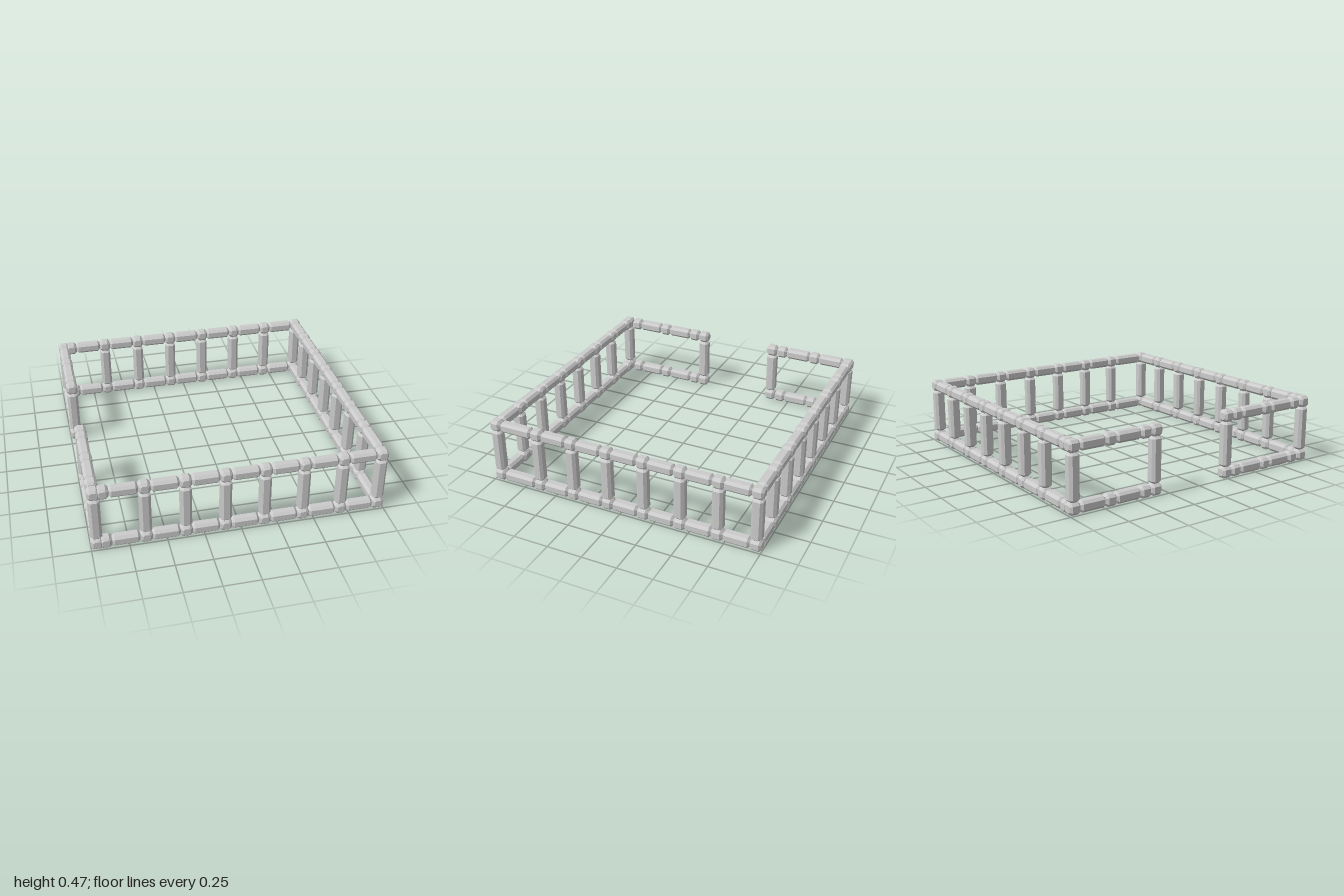
import * as THREE from 'three';

const R = 0.04;                 // half size of a joint
const LOW = 0.04, HIGH = 0.434; // rail heights
const END = 0.96;               // corner distance from the middle
const STEP = 0.266;             // joint spacing
const material = new THREE.MeshStandardMaterial({ color: 0xcccccc, flatShading: true });

// Eight-sided bar along z, centred, with bevelled ends
function bar(length, half) {
  const bevel = 0.016, h = half - bevel, f = h * 0.62;
  const shape = new THREE.Shape([
    [h, -f], [h, f], [f, h], [-f, h], [-h, f], [-h, -f], [-f, -h], [f, -h],
  ].map(([x, y]) => new THREE.Vector2(x, y)));
  const geometry = new THREE.ExtrudeGeometry(shape, {
    depth: length - 2 * bevel, bevelThickness: bevel, bevelSize: bevel, bevelSegments: 1,
  });
  return geometry.translate(0, 0, bevel - length / 2);
}

const jointGeometry = bar(2 * R, R);

export function createModel() {
  const model = new THREE.Group();
  model.name = 'fence';

  function add(parent, name, geometry, x, y, z) {
    const mesh = new THREE.Mesh(geometry, material);
    mesh.name = name;
    mesh.position.set(x, y, z);
    parent.add(mesh);
    return mesh;
  }

  // One straight wall: stops are joint positions along the axis,
  // posts are the stops that carry an upright
  function wall(name, axis, fixed, stops, posts) {
    const group = new THREE.Group();
    group.name = name;
    const at = (t) => (axis === 'x' ? [t, fixed] : [fixed, t]);
    for (const y of [LOW, HIGH]) {
      stops.forEach((t, i) => {
        const [x, z] = at(t);
        add(group, 'joint', jointGeometry, x, y, z);
        if (i === 0) return;
        // rail bar filling the gap between two joints
        const length = t - stops[i - 1] - 2 * R;
        if (length < 0.05) return;
        const [bx, bz] = at((t + stops[i - 1]) / 2);
        const rail = add(group, 'rail', bar(length, 0.037), bx, y, bz);
        if (axis === 'x') rail.rotation.y = Math.PI / 2;
      });
    }
    for (const t of posts) {
      const [x, z] = at(t);
      const post = add(group, 'post', bar(HIGH - LOW - 2 * R, 0.038), x, (LOW + HIGH) / 2, z);
      post.rotation.x = Math.PI / 2;
    }
    model.add(group);
  }

  // Front and back walls, with a doubled joint at the right corner
  const spaced = Array.from({ length: 7 }, (_, i) => END - STEP * (6 - i));
  const longStops = [-END, END - STEP * 7, ...spaced];
  const longPosts = [-END, ...spaced];
  wall('frontWall', 'x', END, longStops, longPosts);
  wall('backWall', 'x', -END, longStops, longPosts);

  // Closed left wall
  const sideStops = spaced.map((t) => -t).reverse();
  wall('leftWall', 'z', END, [...sideStops, END], sideStops.slice(1));

  // Right wall in two pieces with the gateway between them
  wall('rightWallBack', 'z', -END, [-END, -0.694, -0.428, -0.344], [-0.344]);
  wall('rightWallFront', 'z', -END, [0.254, 0.337, 0.603, 0.869, END], [0.254]);

  return model;
}
